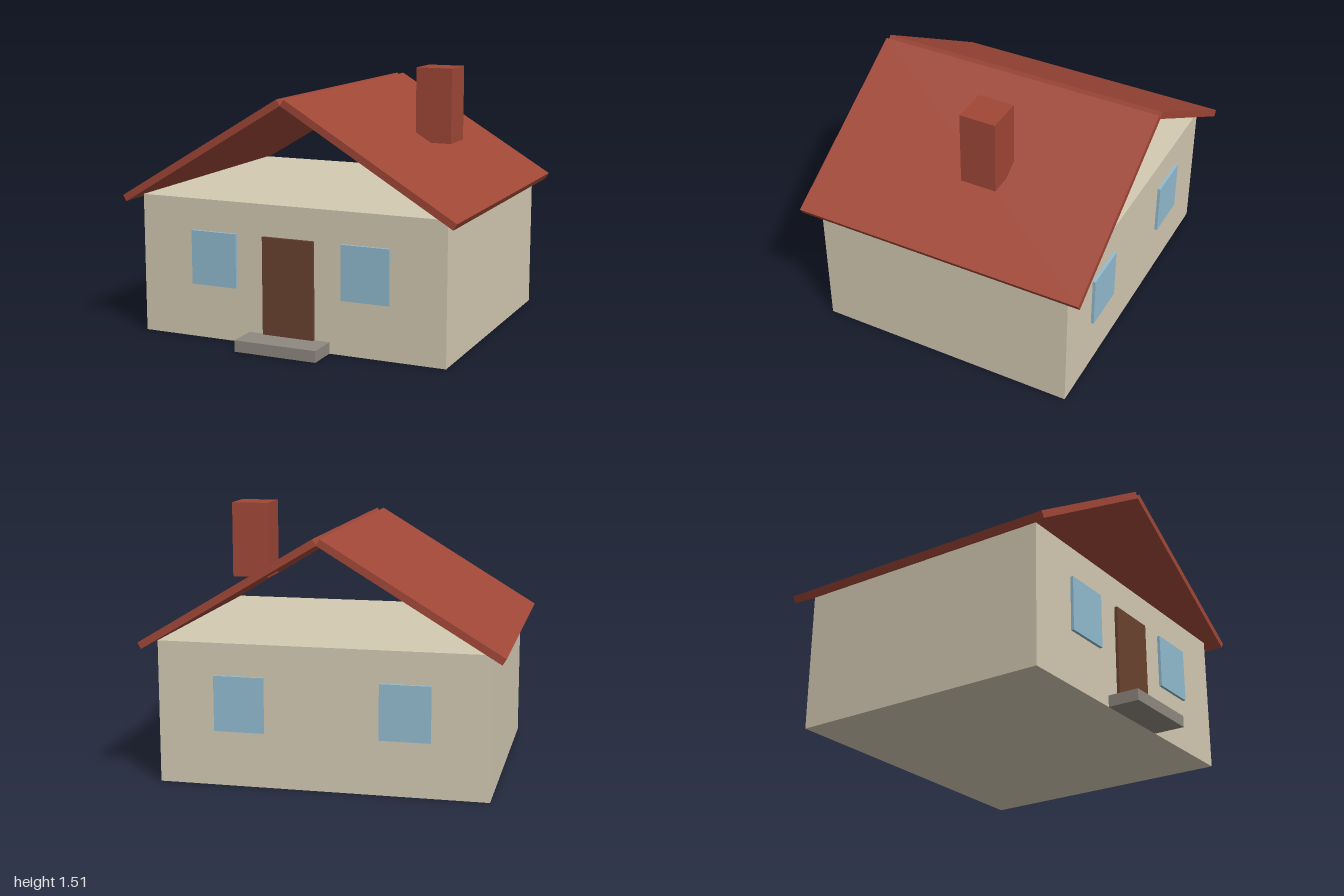
import * as THREE from 'three';

const paint = (name, color) => {
  const m = new THREE.MeshStandardMaterial({ color });
  m.name = name;
  return m;
};

export function createModel() {
  const house = new THREE.Group();
  house.name = 'house';

  const plaster = paint('cream plaster', 0xd4cab3);
  const tile = paint('red tile', 0xa04737);
  const glass = paint('blue glass', 0x92bcd0);
  const wood = paint('brown wood', 0x6a432e);
  const stone = paint('grey stone', 0x8f8a80);

  // Box given by its limits on each axis
  const block = (name, material, [x0, x1], [y0, y1], [z0, z1]) => {
    const mesh = new THREE.Mesh(new THREE.BoxGeometry(x1 - x0, y1 - y0, z1 - z0), material);
    mesh.position.set((x0 + x1) / 2, (y0 + y1) / 2, (z0 + z1) / 2);
    mesh.name = name;
    house.add(mesh);
    return mesh;
  };

  const front = 0.725, back = -0.81, proud = 0.017;

  block('walls', plaster, [-0.92, 0.92], [0, 0.8], [back, front]);
  block('door', wood, [-0.155, 0.155], [0.005, 0.62], [front - proud, front + proud]);
  block('doorstep', stone, [-0.245, 0.245], [0, 0.065], [front, 0.905]);
  block('chimney', tile, [0.445, 0.66], [1.08, 1.51], [-0.245, -0.035]);

  // Two windows on the front and two on the back
  for (const z of [front, back]) {
    for (const x of [-0.46, 0.46]) {
      block('window', glass, [x - 0.14, x + 0.14], [0.31, 0.62], [z - proud, z + proud]);
    }
  }

  // Two tilted slabs meet at the ridge along their lower edges; the gables stay open
  for (const side of [-1, 1]) {
    const slab = block('roofSlope', tile, [-0.572, 0.572], [-0.02, 0.02], [-0.905, 0.815]);
    slab.position.x = side * 0.5;
    slab.position.y = 1.08;
    slab.rotation.z = -side * 0.541;
  }

  return house;
}
